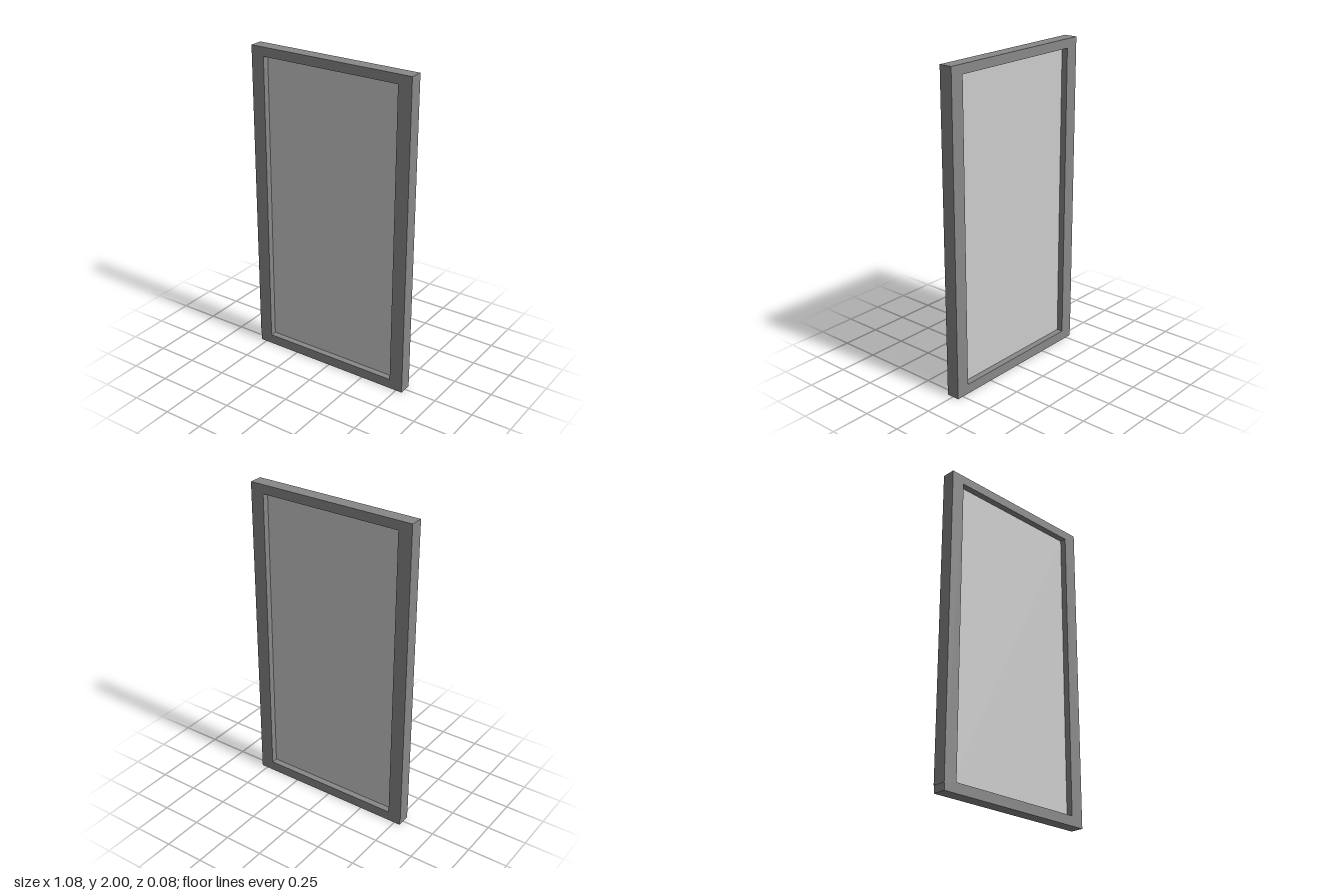
import * as THREE from 'three';

const DEPTH = 0.084;

// closed polygon through [x, y] corners
const outline = (Type, points) => new Type(points.map(([x, y]) => new THREE.Vector2(x, y)));

export function createModel() {
  const model = new THREE.Group();
  model.name = 'framedPanel';

  // surrounding frame: wide stiles, narrower rails, one continuous piece
  const shape = outline(THREE.Shape, [
    [-0.54, 0], [0.541, 0], [0.541, 2], [-0.543, 2], [-0.543, 0.045], [-0.54, 0.045],
  ]);
  shape.holes.push(outline(THREE.Path, [
    [-0.457, 0.062], [-0.457, 1.943], [0.454, 1.943], [0.454, 0.062],
  ]));
  const frameGeometry = new THREE.ExtrudeGeometry(shape, { depth: DEPTH, bevelEnabled: false });
  frameGeometry.translate(0, 0, -DEPTH / 2);
  const frame = new THREE.Mesh(frameGeometry, new THREE.MeshStandardMaterial({ color: 0x888888 }));
  frame.name = 'frame';
  model.add(frame);

  // thin pane set midway in the frame, recessed on both faces
  const pane = new THREE.Mesh(
    new THREE.BoxGeometry(0.913, 1.883, 0.004),
    new THREE.MeshStandardMaterial({ color: 0xcccccc }),
  );
  pane.name = 'pane';
  pane.position.set(-0.0015, 1.0025, 0);
  model.add(pane);

  return model;
}
